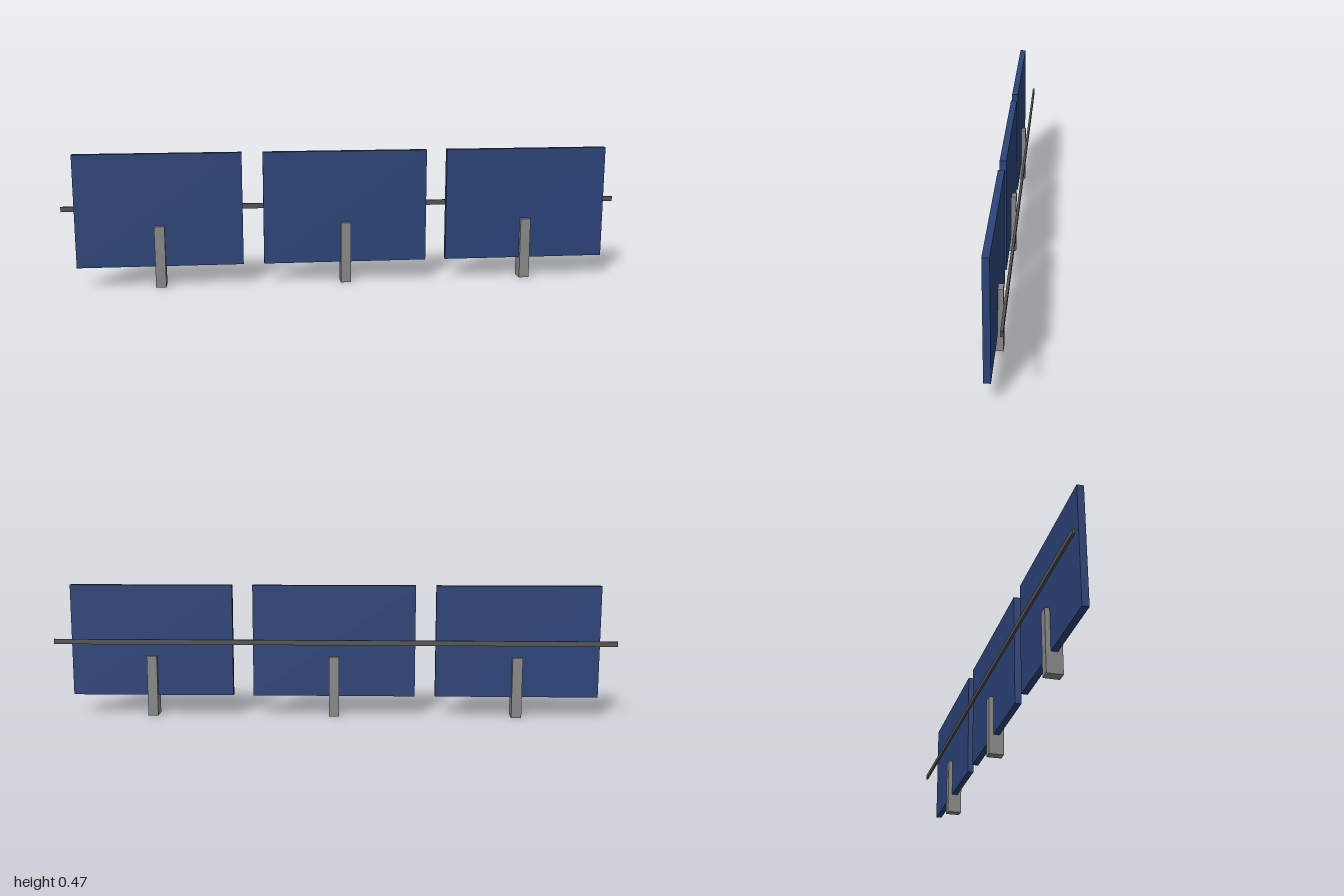
import * as THREE from 'three';

const material = (name, color) => {
  const m = new THREE.MeshStandardMaterial({ color });
  m.name = name;
  return m;
};

export function createModel() {
  const group = new THREE.Group();
  const blue = material('panel blue', 0x2c4479);
  const grey = material('post grey', 0x8a8a8a);
  const dark = material('rail dark grey', 0x555555);

  // Box given by its size, centre x, bottom y and centre z
  const box = (name, mat, [w, h, d], x, y, z) => {
    const mesh = new THREE.Mesh(new THREE.BoxGeometry(w, h, d), mat);
    mesh.name = name;
    mesh.position.set(x, y + h / 2, z);
    group.add(mesh);
  };

  // Three upright panels, each set through a short post
  [['right', -0.655], ['middle', 0], ['left', 0.655]].forEach(([side, x]) => {
    box(`${side}Panel`, blue, [0.582, 0.4, 0.022], x, 0.073, 0.012);
    box(`${side}Post`, grey, [0.036, 0.218, 0.054], x, 0, 0.012);
  });

  // Long rail running behind the panels
  box('rail', dark, [2, 0.018, 0.008], 0, 0.264, -0.034);

  return group;
}
